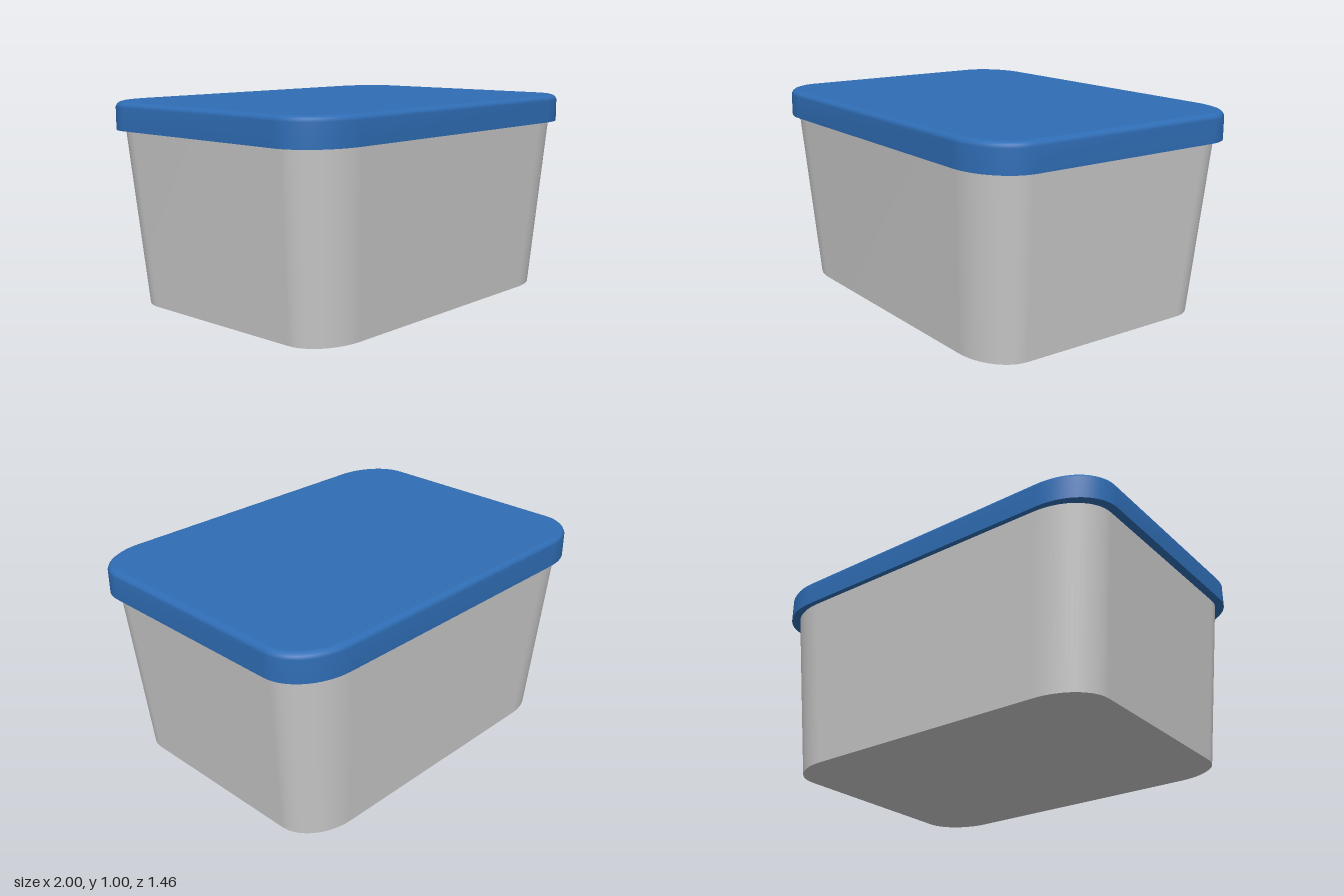
import * as THREE from 'three';
import { mergeGeometries } from 'three/addons/utils/BufferGeometryUtils.js';

const CORNER_STEPS = 16;

// Outline of a rounded rectangle with elliptical corners, half sizes hx and hz
function outline(hx, hz, rx, rz) {
  const points = [];
  for (let corner = 0; corner < 4; corner++) {
    for (let i = 0; i <= CORNER_STEPS; i++) {
      const a = (corner + i / CORNER_STEPS) * Math.PI / 2;
      const sx = corner === 0 || corner === 3 ? 1 : -1;
      const sz = corner < 2 ? 1 : -1;
      points.push([sx * (hx - rx) + rx * Math.cos(a), sz * (hz - rz) + rz * Math.sin(a)]);
    }
  }
  return points;
}

// Smooth wall through the sections, from bottom to top
function wall(sections) {
  const positions = [], index = [];
  let n = 0;
  for (const { y, hx, hz, rx, rz } of sections) {
    const ring = outline(hx, hz, rx, rz);
    n = ring.length;
    for (const [x, z] of ring) positions.push(x, y, z);
  }
  for (let s = 0; s < sections.length - 1; s++) {
    for (let i = 0; i < n; i++) {
      const a = s * n + i, b = s * n + (i + 1) % n;
      index.push(a, a + n, b, b, a + n, b + n);
    }
  }
  return finish(positions, index);
}

// Flat cap on a section, facing up or down
function cap({ y, hx, hz, rx, rz }, up) {
  const ring = outline(hx, hz, rx, rz), n = ring.length;
  const positions = [0, y, 0], index = [];
  for (const [x, z] of ring) positions.push(x, y, z);
  for (let i = 0; i < n; i++) {
    const a = 1 + i, b = 1 + (i + 1) % n;
    index.push(0, ...(up ? [b, a] : [a, b]));
  }
  return finish(positions, index);
}

function finish(positions, index) {
  const geometry = new THREE.BufferGeometry();
  geometry.setAttribute('position', new THREE.Float32BufferAttribute(positions, 3));
  geometry.setIndex(index);
  geometry.computeVertexNormals();
  return geometry;
}

// Closed solid: wall plus two sharp-edged caps
function solid(name, sections, color) {
  const geometry = mergeGeometries([
    wall(sections), cap(sections[0], false), cap(sections[sections.length - 1], true),
  ]);
  const mesh = new THREE.Mesh(geometry, new THREE.MeshStandardMaterial({ color }));
  mesh.name = name;
  return mesh;
}

export function createModel() {
  const group = new THREE.Group();
  group.name = 'storageBox';

  // Tapered tub, wider at the top
  group.add(solid('tub', [
    { y: 0, hx: 0.88, hz: 0.645, rx: 0.25, rz: 0.19 },
    { y: 0.88, hx: 0.96, hz: 0.705, rx: 0.27, rz: 0.21 },
  ], 0xcccccc));

  // Overhanging lid with a softened top edge
  const inset = (y, d) => ({ y, hx: 1 - d, hz: 0.73 - d, rx: 0.28 - d, rz: 0.22 - d });
  group.add(solid('lid', [
    inset(0.865, 0), inset(0.975, 0), inset(0.988, 0.006), inset(0.996, 0.016), inset(1, 0.03),
  ], 0x2f6db5));

  return group;
}
